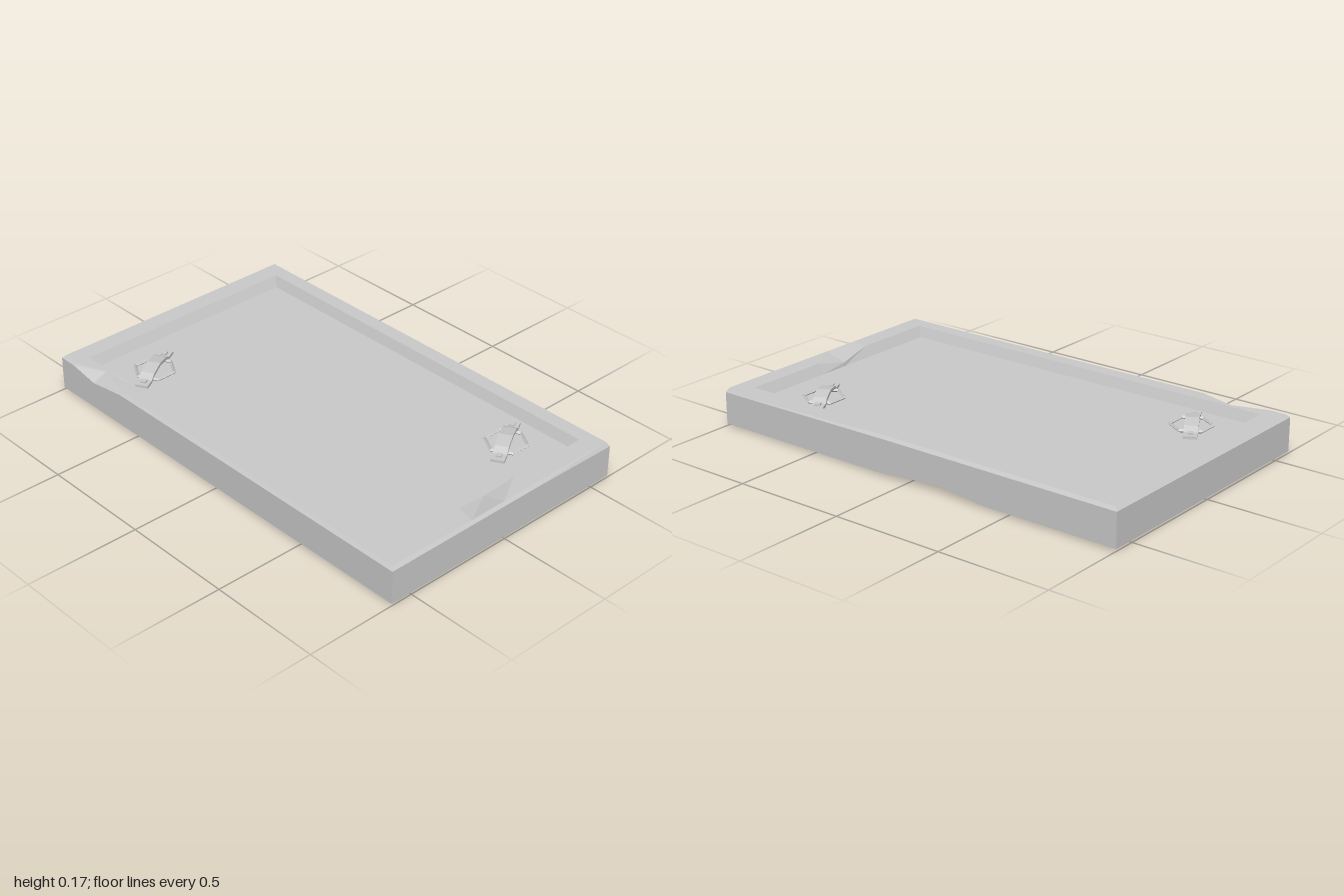
import * as THREE from 'three';

const PANEL_TOP = 0.125, PANEL_BOTTOM = 0.04;

// Rim cross-section: half width, half length, height (outside up, inside down)
const PROFILE = [
  [0.6, 1.0, 0.01], [0.6, 1.0, 0.157], [0.588, 0.988, 0.17], [0.523, 0.905, 0.17],
  [0.505, 0.882, PANEL_TOP], [0.505, 0.882, PANEL_BOTTOM], [0.517, 0.898, 0.01],
];

// Stations around the rim (as fractions of the half sizes); chips move single profile points
const STATIONS = [
  { at: [-1, 1] }, { at: [-0.3, 1] },
  { at: [0, 1], chips: { 3: [0, -0.02, -0.028], 6: [0, 0.035, 0.02] } },
  { at: [0.27, 1] }, { at: [1, 1], chips: { 1: [0, 0, -0.007] } },
  { at: [1, 0.13] }, { at: [1, -0.16], chips: { 0: [0, 0, 0.026] } }, { at: [1, -0.38] },
  { at: [1, -1] }, { at: [0, -1] }, { at: [-1, -1] },
  { at: [-1, -0.92] }, { at: [-1, -0.78], chips: { 1: [0, 0, -0.025], 2: [0.048, 0, -0.002] } },
  { at: [-1, -0.6] },
];

function rimGeometry() {
  const pos = [], index = [], n = STATIONS.length, m = PROFILE.length;
  for (const { at, chips = {} } of STATIONS) {
    PROFILE.forEach(([hx, hz, y], j) => {
      const [dx, dz, dy] = chips[j] || [0, 0, 0];
      pos.push(at[0] * hx + dx, y + dy, at[1] * hz + dz);
    });
  }
  for (let i = 0; i < n; i++) {
    for (let j = 0; j < m; j++) {
      const i2 = (i + 1) % n, j2 = (j + 1) % m;
      const a = i * m + j, b = i2 * m + j, c = i2 * m + j2, d = i * m + j2;
      index.push(a, b, c, a, c, d);
    }
  }
  const g = new THREE.BufferGeometry();
  g.setAttribute('position', new THREE.Float32BufferAttribute(pos, 3));
  g.setIndex(index);
  const flat = g.toNonIndexed();
  flat.computeVertexNormals();
  return flat;
}

// Arched strap with flat feet, passing over the ring
function strapGeometry() {
  const top = [[-0.147, 0.012], [-0.1, 0.012], [-0.07, 0.029], [0, 0.039], [0.07, 0.029], [0.1, 0.012], [0.147, 0.012]];
  const under = [[0.147, 0], [0.1, 0], [0.07, 0.016], [0, 0.026], [-0.07, 0.016], [-0.1, 0], [-0.147, 0]];
  const shape = new THREE.Shape([...top, ...under].map(([x, y]) => new THREE.Vector2(x, y)));
  const g = new THREE.ExtrudeGeometry(shape, { depth: 0.058, bevelEnabled: false });
  return g.translate(0, 0, -0.029);
}

export function createModel() {
  const model = new THREE.Group();
  model.name = 'panelDoor';
  const stone = new THREE.MeshStandardMaterial({ color: 0xc9c9c9 });
  stone.name = 'lightGrey';
  stone.flatShading = true;

  const add = (parent, name, geometry, x = 0, y = 0, z = 0) => {
    const mesh = new THREE.Mesh(geometry, stone);
    mesh.name = name;
    mesh.position.set(x, y, z);
    parent.add(mesh);
    return mesh;
  };

  // Chipped rim and recessed panel
  add(model, 'rim', rimGeometry());
  add(model, 'panel', new THREE.BoxGeometry(1.01, PANEL_TOP - PANEL_BOTTOM, 1.764), 0, (PANEL_TOP + PANEL_BOTTOM) / 2, 0);

  // Ring handles, on both faces of the panel
  const strap = strapGeometry();
  const ring = new THREE.TorusGeometry(0.088, 0.008, 4, 6).rotateX(Math.PI / 2);
  const bolt = new THREE.BoxGeometry(0.024, 0.012, 0.024);
  const handle = (name, x, z, below) => {
    const group = new THREE.Group();
    group.name = name;
    add(group, 'ring', ring, 0, 0.006, 0.003);
    const bar = new THREE.Group();
    bar.name = 'strap';
    // Turning a handle over reverses its apparent yaw
    bar.rotation.y = below ? -Math.PI / 6 : Math.PI / 6;
    add(bar, 'strapBar', strap);
    for (const s of [-1, 1]) add(bar, 'bolt', bolt, s * 0.116, 0.013, 0);
    group.add(bar);
    group.position.set(x, below ? PANEL_BOTTOM : PANEL_TOP, z);
    if (below) group.rotation.x = Math.PI;
    model.add(group);
  };
  for (const below of [false, true]) {
    const side = below ? 'lower' : 'upper';
    handle(side + 'BackHandle', -0.343, -0.7, below);
    handle(side + 'FrontHandle', 0.344, 0.678, below);
  }
  return model;
}
